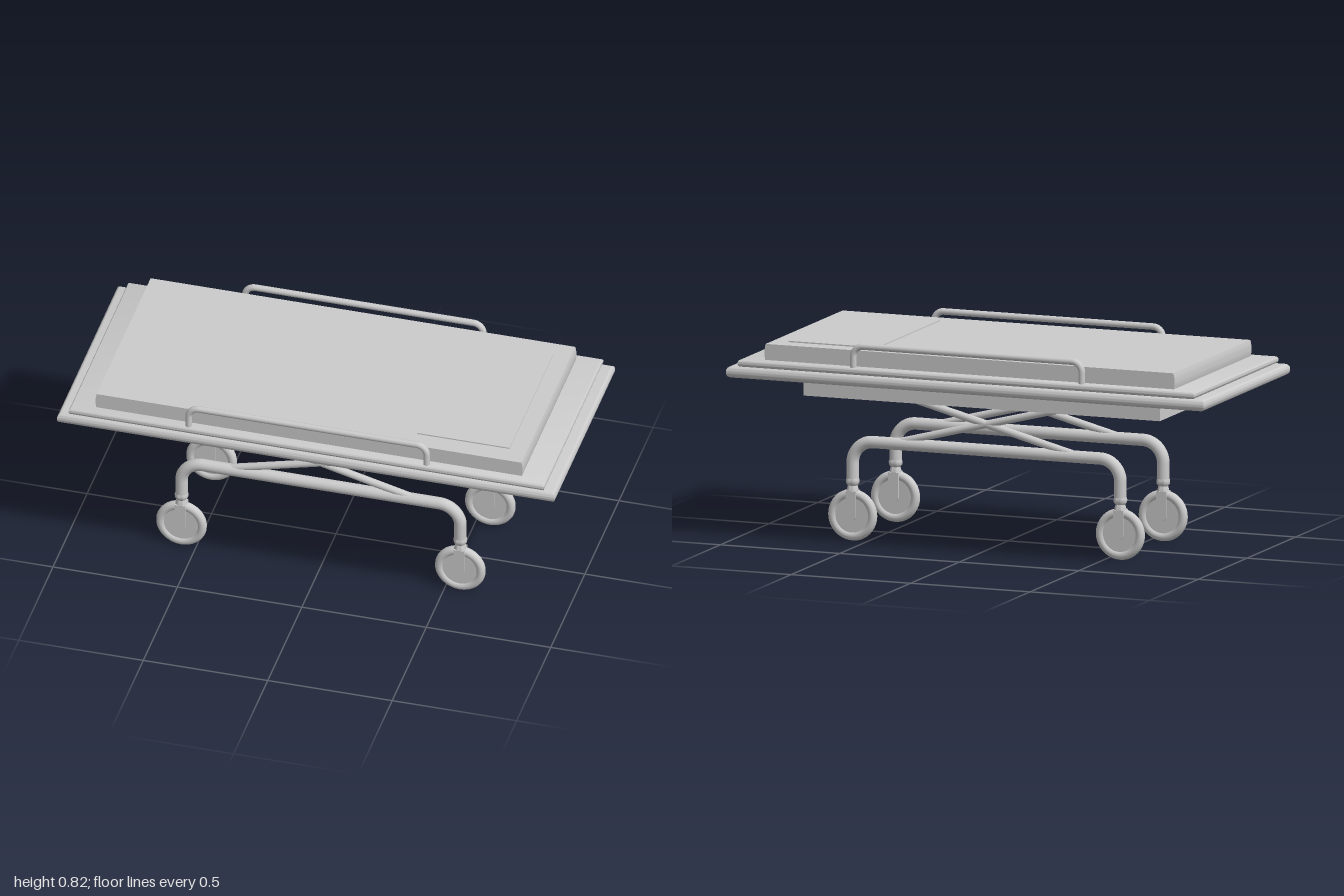
import * as THREE from 'three';
import { toCreasedNormals } from 'three/addons/utils/BufferGeometryUtils.js';

const grey = new THREE.MeshStandardMaterial({ color: 0xcccccc });
const V = (x, y, z = 0) => new THREE.Vector3(x, y, z);

function add(parent, name, geometry, x = 0, y = 0, z = 0) {
  const mesh = new THREE.Mesh(geometry, grey);
  mesh.name = name;
  mesh.position.set(x, y, z);
  parent.add(mesh);
  return mesh;
}

// Flat slab with rounded, mitred edges; bottom at y = 0
function slab(halfX, halfZ, height, bevel) {
  const a = halfX - bevel, b = halfZ - bevel;
  const shape = new THREE.Shape([[-a, -b], [a, -b], [a, b], [-a, b]].map(p => new THREE.Vector2(...p)));
  const t = height * 0.45;
  const geo = new THREE.ExtrudeGeometry(shape, {
    depth: height - 2 * t, bevelThickness: t, bevelSize: bevel, bevelSegments: 6,
  });
  geo.translate(0, 0, t).rotateX(-Math.PI / 2);
  return toCreasedNormals(geo, 0.7);
}

// Smooth tube through straight runs with rounded corners
function bentTube(points, bend, radius) {
  const path = new THREE.CurvePath();
  let from = points[0];
  for (let i = 1; i < points.length - 1; i++) {
    const corner = points[i];
    const start = corner.clone().add(points[i - 1].clone().sub(corner).setLength(bend));
    const end = corner.clone().add(points[i + 1].clone().sub(corner).setLength(bend));
    const k = 0.45;
    path.add(new THREE.LineCurve3(from, start));
    path.add(new THREE.CubicBezierCurve3(start, start.clone().lerp(corner, 1 - k),
      end.clone().lerp(corner, 1 - k), end));
    from = end;
  }
  path.add(new THREE.LineCurve3(from, points[points.length - 1]));
  return new THREE.TubeGeometry(path, 160, radius, 16);
}

// Caster: stem collar, two fork prongs, tyre and hub, centred on its vertical axis
function createCaster() {
  const caster = new THREE.Group();
  caster.name = 'caster';
  const stem = [[0, 0.255], [0.024, 0.25], [0.027, 0.24], [0.026, 0.229], [0.019, 0.22],
    [0.021, 0.212], [0.025, 0.198], [0.025, 0.185], [0, 0.185]].reverse();
  add(caster, 'stem', toCreasedNormals(
    new THREE.LatheGeometry(stem.map(p => new THREE.Vector2(...p)), 20), 0.8));

  const prong = new THREE.Shape();
  prong.moveTo(-0.021, 0.2);
  prong.lineTo(-0.021, 0.103);
  prong.absarc(0, 0.103, 0.021, Math.PI, Math.PI * 2, false);
  prong.lineTo(0.021, 0.2);
  for (const s of [-1, 1]) {
    const geo = new THREE.ExtrudeGeometry(prong, { depth: 0.007, bevelEnabled: false, curveSegments: 12 });
    add(caster, 'forkProng', toCreasedNormals(geo, 0.6), 0, 0, s * 0.0215 - 0.0035);
  }
  add(caster, 'tyre', new THREE.TorusGeometry(0.083, 0.0185, 14, 40), 0, 0.103, 0);
  add(caster, 'wheelDisc', new THREE.CylinderGeometry(0.075, 0.075, 0.022, 40).rotateX(Math.PI / 2), 0, 0.103, 0);
  add(caster, 'axle', new THREE.CylinderGeometry(0.01, 0.01, 0.044, 16).rotateX(Math.PI / 2), 0, 0.103, 0);
  return caster;
}

export function createModel() {
  const model = new THREE.Group();
  model.name = 'stretcher';

  // Bed: lower frame, deck and under-box
  add(model, 'lowerFrame', slab(1, 0.444, 0.046, 0.02), 0, 0.649, 0);
  add(model, 'deck', slab(0.955, 0.435, 0.028, 0.012), 0, 0.694, 0);
  add(model, 'underBox', new THREE.BoxGeometry(1.49, 0.085, 0.538), 0, 0.6105, 0);

  // Mattress with slightly bulging ends
  const side = new THREE.Shape();
  side.moveTo(-0.853, 0.715);
  side.lineTo(0.853, 0.715);
  side.quadraticCurveTo(0.863, 0.75, 0.853, 0.785);
  side.lineTo(-0.853, 0.785);
  side.quadraticCurveTo(-0.863, 0.75, -0.853, 0.715);
  const mattress = new THREE.ExtrudeGeometry(side, { depth: 0.79, bevelEnabled: false, curveSegments: 8 });
  add(model, 'mattress', toCreasedNormals(mattress, 0.6), 0, 0, -0.395);
  add(model, 'pillow', new THREE.BoxGeometry(0.37, 0.01, 0.645), 0.6, 0.785, -0.003);

  for (const s of [-1, 1]) {
    // Side rail
    add(model, 'sideRail', bentTube(
      [V(-0.478, 0.71), V(-0.478, 0.806), V(0.478, 0.806), V(0.478, 0.71)], 0.04, 0.013), 0, 0, s * 0.415);

    // Undercarriage: bent leg tube, crossed struts, casters
    const carriage = new THREE.Group();
    carriage.name = 'undercarriage';
    carriage.position.z = s * 0.22;
    model.add(carriage);
    add(carriage, 'legTube', bentTube(
      [V(-0.56, 0.24), V(-0.56, 0.395), V(0.56, 0.395), V(0.56, 0.24)], 0.085, 0.0245));
    for (const d of [-1, 1]) {
      const strut = new THREE.LineCurve3(V(-d * 0.36, 0.405), V(d * 0.36, 0.59));
      add(carriage, 'crossStrut', new THREE.TubeGeometry(strut, 1, 0.015, 14));
      const caster = createCaster();
      caster.position.x = d * 0.56;
      carriage.add(caster);
    }
  }
  return model;
}
